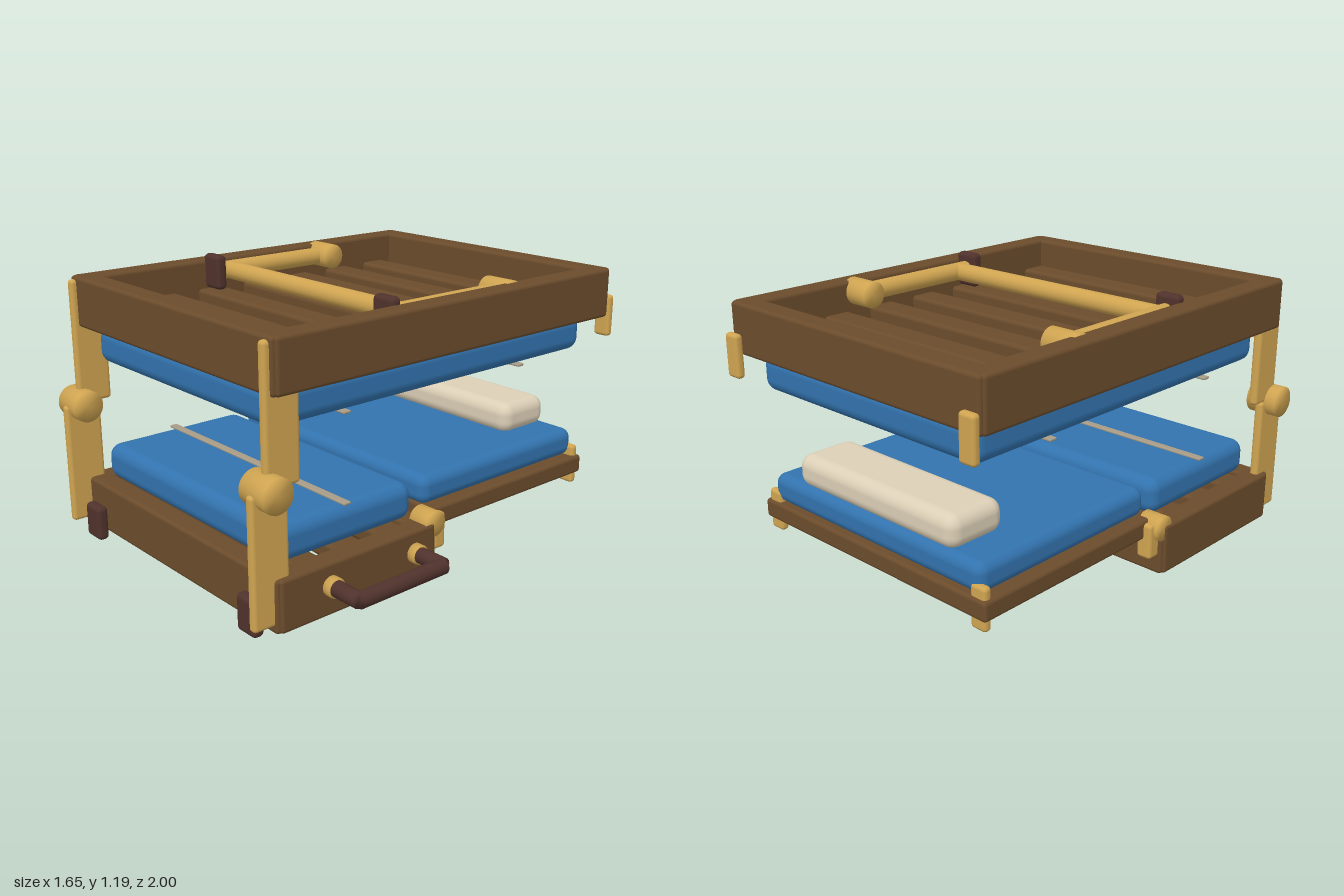
import * as THREE from 'three';
import { RoundedBoxGeometry } from 'three/addons/geometries/RoundedBoxGeometry.js';
import { mergeVertices } from 'three/addons/utils/BufferGeometryUtils.js';

const mat = (name, color) => {
  const m = new THREE.MeshStandardMaterial({ color });
  m.name = name;
  return m;
};

export function createModel() {
  const wood = mat('brown wood', 0x6b4c2c);
  const blue = mat('blue fabric', 0x3273ae);
  const brass = mat('brass', 0xcfa451);
  const dark = mat('dark grip', 0x50322c);
  const cream = mat('cream pillow', 0xdccfb6);
  const strapMat = mat('grey strap', 0xa89c86);

  const model = new THREE.Group();
  model.name = 'foldingBunkBed';
  const CX = -0.085; // centre line of the bed, the handle sits outside it

  const add = (parent, name, geo, m) => {
    const mesh = new THREE.Mesh(geo, m);
    mesh.name = name;
    parent.add(mesh);
    return mesh;
  };
  // Rounded box given by its extents
  const box = (parent, name, m, x0, x1, y0, y1, z0, z1, r = 0.016) => {
    const geo = new RoundedBoxGeometry(x1 - x0, y1 - y0, z1 - z0, r > 0.03 ? 5 : 3, r);
    geo.translate((x0 + x1) / 2, (y0 + y1) / 2, (z0 + z1) / 2);
    return add(parent, name, geo, m);
  };
  // Cylinder between two points, shaded softly over its end caps
  const rod = (parent, name, m, a, b, r) => {
    const p = new THREE.Vector3(...a), q = new THREE.Vector3(...b);
    let geo = new THREE.CylinderGeometry(r, r, p.distanceTo(q), 28);
    geo.deleteAttribute('normal');
    geo.deleteAttribute('uv');
    geo = mergeVertices(geo);
    geo.computeVertexNormals();
    const mesh = add(parent, name, geo, m);
    mesh.position.copy(p).add(q).multiplyScalar(0.5);
    mesh.quaternion.setFromUnitVectors(new THREE.Vector3(0, 1, 0), q.sub(p).normalize());
    return mesh;
  };
  const group = (name) => {
    const g = new THREE.Group();
    g.name = name;
    model.add(g);
    return g;
  };

  // Open frame of four rails with slats across it
  const slattedFrame = (name, y0, y1, z0, z1, slatY0, slatY1, slats) => {
    const g = group(name);
    for (const [x0, x1] of [[-0.80, -0.70], [0.53, 0.63]]) {
      box(g, 'sideRail', wood, x0, x1, y0, y1, z0 + 0.015, z1 - 0.015);
    }
    for (const [a, b] of [[z0, z0 + 0.104], [z1 - 0.105, z1]]) {
      box(g, 'endRail', wood, -0.79, 0.62, y0, y1, a, b);
    }
    for (const z of slats) {
      box(g, 'slat', wood, -0.72, 0.55, slatY0, slatY1, z - 0.067, z + 0.067, 0.018);
    }
  };
  slattedFrame('upperFrame', 0.942, 1.16, -0.965, 0.908, 0.95, 1.03,
    [0, 1, 2, 3, 4, 5, 6].map((i) => -0.75 + i * 0.2505));
  slattedFrame('lowerFrame', 0.033, 0.253, 0.09, 0.908, 0.18, 0.25, [0.28, 0.495, 0.71]);

  // Fold-out rear deck
  const deck = group('rearDeck');
  box(deck, 'deckBoard', wood, -0.745, 0.575, 0.203, 0.287, -0.9, 0.075);

  // Mattresses, pillow and straps
  const bedding = group('bedding');
  box(bedding, 'upperMattress', blue, -0.704, 0.534, 0.785, 0.947, -0.90, 0.85, 0.055);
  box(bedding, 'lowerMattress', blue, -0.704, 0.534, 0.25, 0.41, 0.135, 0.84, 0.055);
  box(bedding, 'rearMattress', blue, -0.704, 0.534, 0.283, 0.41, -0.882, 0.085, 0.045);
  box(bedding, 'pillow', cream, -0.548, 0.378, 0.395, 0.537, -0.868, -0.587, 0.055);
  for (const [y, z] of [[0.783, 0.49], [0.783, -0.495], [0.413, 0.49]]) {
    box(bedding, 'strap', strapMat, -0.702, 0.532, y - 0.006, y + 0.006,
      z - 0.018, z + 0.018, 0.005);
  }

  // Folded U-shaped legs: hinge, two arms, crossbar and feet
  const foldedLegs = (name, y, hingeZ) => {
    const g = group(name);
    const xs = [-0.658, 0.486];
    const barZ = hingeZ + 0.568;
    for (const x of xs) {
      rod(g, 'legHinge', brass, [x - 0.07, y, hingeZ], [x + 0.07, y, hingeZ], 0.058);
      rod(g, 'legArm', brass, [x, y, hingeZ], [x, y, barZ + 0.05], 0.04);
      box(g, 'foot', dark, x - 0.058, x + 0.058, y - 0.078, y + 0.078,
        barZ + 0.047, barZ + 0.099, 0.02);
    }
    rod(g, 'crossbar', brass, [xs[0], y, barZ], [xs[1], y, barZ], 0.0405);
  };
  foldedLegs('upperFoldedLegs', 1.112, -0.388);
  foldedLegs('lowerFoldedLegs', 0.078, 0.29);

  // Brass fittings on both sides
  const fittings = group('fittings');
  for (const s of [-1, 1]) {
    const x = CX + s * 0.673;
    box(fittings, 'upperPost', brass, x - 0.02, x + 0.02, 0.60, 1.147, 0.775, 0.932);
    box(fittings, 'lowerPost', brass, x - 0.02, x + 0.02, 0.065, 0.60, 0.832, 1.0);
    rod(fittings, 'postHinge', brass, [x - 0.07, 0.598, 0.918], [x + 0.07, 0.598, 0.918], 0.07);
    box(fittings, 'upperCatch', brass, x - 0.039, x + 0.039, 0.847, 1.034, -1.0, -0.962);

    // Hinge between the lower frame and the rear deck
    const hx = CX + s * 0.66;
    rod(fittings, 'deckHinge', brass, [hx - 0.048, 0.245, 0.1], [hx + 0.048, 0.245, 0.1], 0.055);
    box(fittings, 'deckHingePlate', brass, hx - 0.035, hx + 0.035, 0.12, 0.275, 0.025, 0.092);
    const cx = CX + s * 0.608;
    box(fittings, 'deckCatch', brass, cx - 0.039, cx + 0.039, 0.153, 0.335, -0.888, -0.85);
  }

  // Carrying handle on the left side
  const handle = group('handle');
  for (const z of [0.222, 0.658]) {
    rod(handle, 'handleCollar', brass, [0.62, 0.16, z], [0.664, 0.16, z], 0.041);
    rod(handle, 'handleArm', dark, [0.65, 0.16, z], [0.79, 0.16, z], 0.033);
  }
  rod(handle, 'handleGrip', dark, [0.79, 0.16, 0.222], [0.79, 0.16, 0.658], 0.033);

  return model;
}
